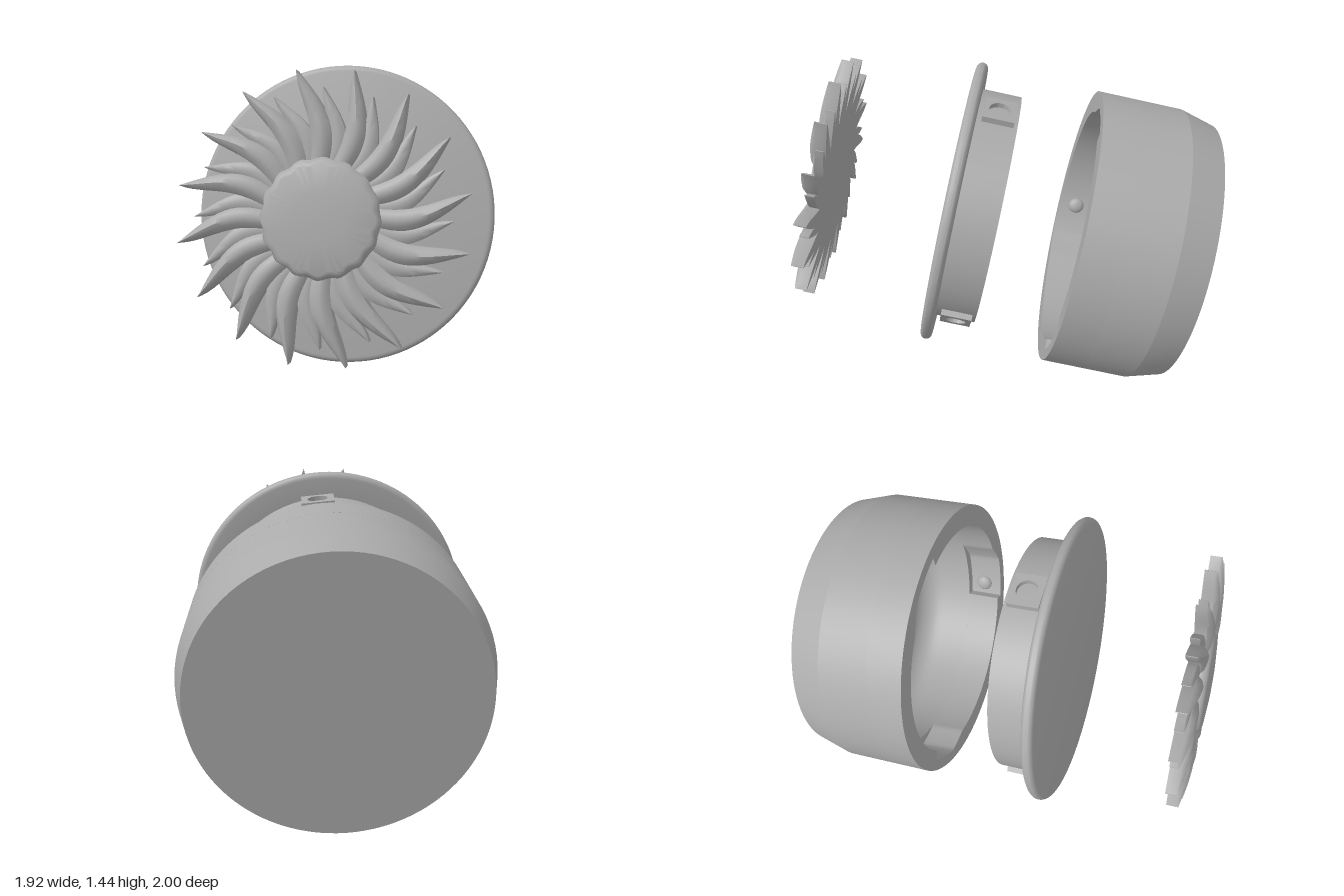
import * as THREE from 'three';
import { toCreasedNormals } from 'three/addons/utils/BufferGeometryUtils.js';

const DEG = Math.PI / 180;
const AXIS = new THREE.Vector3(0.618, 0.196, 0.761).normalize();
const PAD_ANGLES = [84, -36, -156];

const grey = new THREE.MeshStandardMaterial({ color: 0xaaaaaa });
grey.name = 'plain grey';

function add(parent, name, geometry) {
  const mesh = new THREE.Mesh(geometry, grey);
  mesh.name = name;
  parent.add(mesh);
  return mesh;
}

// Group whose local +z runs along the shared axis of the exploded assembly
function axisGroup(name, x, y, z) {
  const g = new THREE.Group();
  g.name = name;
  g.lookAt(AXIS);
  g.position.set(x, y, z);
  return g;
}

// Turned part; profile points are [radius, axial position]
function turned(points, crease = 0.4) {
  const geo = new THREE.LatheGeometry(points.map(p => new THREE.Vector2(...p)), 96);
  return toCreasedNormals(geo.rotateX(Math.PI / 2), crease);
}

function quarterArc(cx, cy, r, from, to, n = 8) {
  return Array.from({ length: n + 1 }, (_, i) => {
    const a = (from + (to - from) * i / n) * DEG;
    return [cx + r * Math.cos(a), cy + r * Math.sin(a)];
  });
}

// Place an object on a cylinder wall: x tangential, y axial, z radial
function placeOnWall(object, angle, radius, axial) {
  const c = Math.cos(angle * DEG), s = Math.sin(angle * DEG);
  const m = new THREE.Matrix4().makeBasis(
    new THREE.Vector3(-s, c, 0), new THREE.Vector3(0, 0, 1), new THREE.Vector3(c, s, 0));
  object.quaternion.setFromRotationMatrix(m);
  object.position.set(c * radius, s * radius, axial);
}

// Inner rim radius with three ramped bayonet notches
function notchRadius(deg) {
  const a = (((deg - 78) % 120) + 120) % 120;
  if (a > 34) return 0.535;
  return 0.535 + 0.045 * Math.min(1, (34 - a) / 12);
}

function buildCup() {
  const cup = axisGroup('cup', -0.17, 0.705, -0.21);
  const notchDepth = 0.16;
  add(cup, 'cupBody', turned([
    [0, -0.53], [0.59, -0.53], [0.63, -0.38], [0.63, -notchDepth],
    [0.535, -notchDepth], ...quarterArc(0.415, -0.31, 0.12, 0, -90), [0, -0.43],
  ], 0.24));

  const rim = new THREE.Shape().absarc(0, 0, 0.63, 0, Math.PI * 2);
  const hole = [];
  for (let d = 0; d < 360; d += 2) {
    // a doubled point keeps the closed end of each notch square
    if (d % 120 === 78) hole.push(new THREE.Vector2(0.535 * Math.cos((d - 0.1) * DEG), 0.535 * Math.sin((d - 0.1) * DEG)));
    const r = notchRadius(d);
    hole.push(new THREE.Vector2(r * Math.cos(d * DEG), r * Math.sin(d * DEG)));
  }
  rim.holes.push(new THREE.Path(hole));
  const rimGeo = new THREE.ExtrudeGeometry(rim, { depth: notchDepth, bevelEnabled: false, curveSegments: 96 });
  add(cup, 'cupRim', toCreasedNormals(rimGeo.translate(0, 0, -notchDepth), 0.4));

  // Round catches that meet the holes of the lid pads
  PAD_ANGLES.forEach(angle => {
    const bump = add(cup, 'catchBump', new THREE.SphereGeometry(0.04, 20, 12));
    bump.scale.z = 0.6;
    placeOnWall(bump, angle, 0.58, -0.09);
  });
  return cup;
}

function buildLid() {
  const lid = axisGroup('lid', 0.16, 0.81, 0.2);
  add(lid, 'lidPlateAndCollar', turned([
    [0, -0.025], [0.48, -0.025], [0.48, -0.2], [0.528, -0.2], [0.528, -0.025],
    [0.618, -0.025], ...quarterArc(0.618, 0, 0.025, -90, 90), [0, 0.025],
  ]));

  // Flat pads with a round hole
  const pad = new THREE.Shape();
  pad.moveTo(-0.075, -0.068).lineTo(0.075, -0.068).lineTo(0.075, 0.068).lineTo(-0.075, 0.068).closePath();
  pad.holes.push(new THREE.Path().absarc(0, 0, 0.046, 0, Math.PI * 2));
  const padGeo = toCreasedNormals(
    new THREE.ExtrudeGeometry(pad, { depth: 0.055, bevelEnabled: false, curveSegments: 24 }), 0.5);
  PAD_ANGLES.forEach(angle => placeOnWall(add(lid, 'lockingPad', padGeo), angle, 0.493, -0.115));
  return lid;
}

// Flame-shaped ray lofted along +x: flat back, thick sides, ridged front
function rayGeometry(length, width, height) {
  const N = 14, root = 0.17, pos = [], idx = [];
  for (let i = 0; i <= N; i++) {
    const t = i / N;
    const x = root + (length - root) * t;
    const bend = -0.028 * Math.sin(t * Math.PI * 1.3) + 0.03 * t * t;
    const w = width * Math.max(0.03, (0.62 + 1.5 * t) * Math.pow(1 - t, 0.85));
    const h = height * (0.75 + 0.5 * Math.sin(Math.PI * t) - 0.2 * t);
    [[-w, -0.03], [w, -0.03], [w, h * 0.45], [w * 0.55, h * 0.85], [0, h], [-w * 0.55, h * 0.85], [-w, h * 0.45]]
      .forEach(([y, z]) => pos.push(x, y + bend, z));
  }
  const K = 7;
  for (let i = 0; i < N; i++) for (let k = 0; k < K; k++) {
    const a = i * K + k, b = i * K + (k + 1) % K;
    idx.push(a, b, b + K, a, b + K, a + K);
  }
  for (let k = 1; k < K - 1; k++) {
    idx.push(0, k + 1, k);
    idx.push(N * K, N * K + k, N * K + k + 1);
  }
  // faces wind outward for a loop running anticlockwise seen from the tip
  const geo = new THREE.BufferGeometry();
  geo.setAttribute('position', new THREE.Float32BufferAttribute(pos, 3));
  geo.setIndex(idx.flatMap((v, i) => (i % 3 === 0 ? [[v, idx[i + 1], idx[i + 2]]] : [])).flat());
  return toCreasedNormals(geo, 0.7);
}

function buildSun() {
  const sun = axisGroup('sunOrnament', 0.52, 0.92, 0.635);
  const count = 16;

  // Domed centre with a softly scalloped edge
  const disc = turned([
    [0, -0.03], [0.2, -0.03], [0.222, 0.01], ...quarterArc(0.187, 0.02, 0.035, 0, 80), [0.1, 0.062], [0, 0.064],
  ], 0.8);
  const p = disc.attributes.position;
  for (let i = 0; i < p.count; i++) {
    const x = p.getX(i), y = p.getY(i), r = Math.hypot(x, y);
    const k = r > 0.19 ? 1 + 0.025 * Math.cos(count * Math.atan2(y, x)) : 1;
    p.setXY(i, x * k, y * k);
  }
  add(sun, 'sunDisc', disc);

  // Long front rays alternating with shorter, lower rays
  const longRay = rayGeometry(0.545, 0.048, 0.04);
  const shortRay = rayGeometry(0.475, 0.042, 0.018);
  for (let i = 0; i < count; i++) {
    add(sun, 'longRay', longRay).rotation.z = (i + 0.25) * Math.PI * 2 / count;
    add(sun, 'shortRay', shortRay).rotation.z = (i + 0.75) * Math.PI * 2 / count;
  }
  return sun;
}

export function createModel() {
  const model = new THREE.Group();
  model.name = 'explodedRoundBox';
  model.add(buildCup(), buildLid(), buildSun());
  return model;
}
